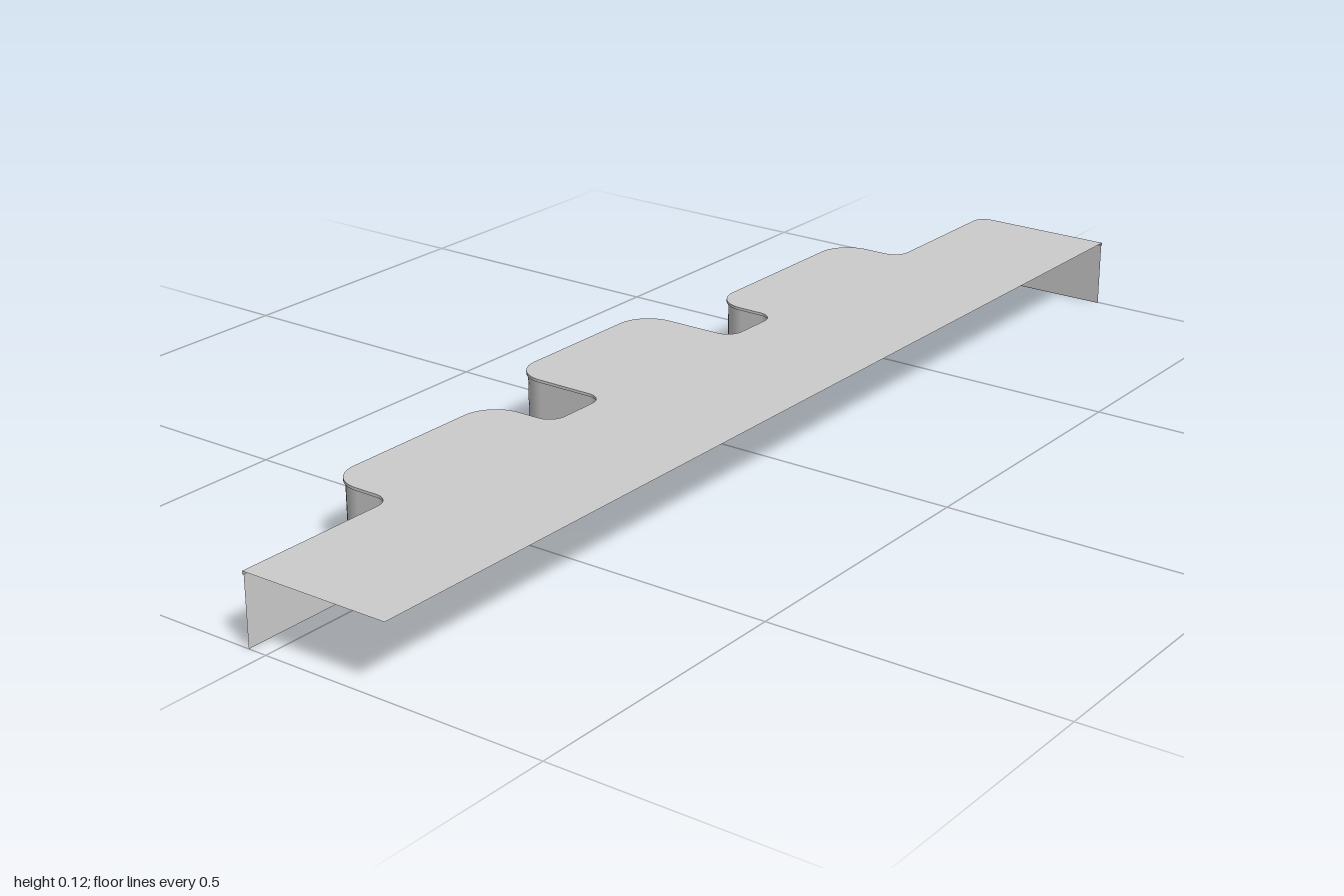
import * as THREE from 'three';

const TOP = 0.12, LIP_BOTTOM = 0.115, LIP = 0.003;
const X_OPEN = 0.231, X_BASE = -0.036;

// Outline corners [x, z, radius], from the back end along the stepped side to the open front end
function outlineCorners() {
  const corners = [[X_OPEN, -1, 0], [X_BASE, -1, 0.025]];
  const bumps = [
    { x: -0.168, z0: -0.702, z1: -0.293 },
    { x: -0.231, z0: -0.165, z1: 0.19 },
    { x: -0.168, z0: 0.32, z1: 0.695 },
  ];
  for (const { x, z0, z1 } of bumps) {
    corners.push([X_BASE, z0, 0.03], [x, z0, 0.06], [x, z1, 0.06], [X_BASE, z1, 0.03]);
  }
  corners.push([X_BASE, 1, 0]);
  return corners;
}

// Rounds the corners; returns points with outward normals in the x/z plane
function roundedOutline(corners, steps = 10) {
  const pts = corners.map(([x, z]) => new THREE.Vector2(x, z));
  const out = [];
  const add = (p, t) => {
    t.normalize();
    out.push({ p, n: new THREE.Vector2(-t.y, t.x) });
  };
  const last = pts.length - 1;
  pts.forEach((p, i) => {
    if (i === 0) return add(p, pts[1].clone().sub(p));
    if (i === last) return add(p, p.clone().sub(pts[i - 1]));
    const r = corners[i][2];
    const a = pts[i - 1].clone().sub(p).setLength(r);
    const b = pts[i + 1].clone().sub(p).setLength(r);
    for (let k = 0; k <= steps; k++) {
      const s = Math.sin((k / steps) * Math.PI / 2), c = Math.cos((k / steps) * Math.PI / 2);
      add(
        p.clone().addScaledVector(a, 1 - s).addScaledVector(b, 1 - c),
        a.clone().multiplyScalar(-c).addScaledVector(b, s),
      );
    }
  });
  return out;
}

// A band following the outline between two [offset, y] levels
function band(outline, [o0, y0], [o1, y1]) {
  const pos = [], nor = [], idx = [];
  const up = new THREE.Vector2(y1 - y0, o0 - o1).normalize();
  outline.forEach(({ p, n }, i) => {
    for (const [o, y] of [[o0, y0], [o1, y1]]) {
      pos.push(p.x + n.x * o, y, p.y + n.y * o);
      nor.push(n.x * up.x, up.y, n.y * up.x);
    }
    if (i > 0) {
      const a = 2 * (i - 1), b = 2 * i;
      idx.push(a, b, b + 1, a, b + 1, a + 1);
    }
  });
  const g = new THREE.BufferGeometry();
  g.setAttribute('position', new THREE.Float32BufferAttribute(pos, 3));
  g.setAttribute('normal', new THREE.Float32BufferAttribute(nor, 3));
  g.setIndex(idx);
  return g;
}

export function createModel() {
  const group = new THREE.Group();
  group.name = 'steppedShelf';
  const material = new THREE.MeshStandardMaterial({ color: 0xcccccc, side: THREE.DoubleSide });
  const add = (name, geometry) => {
    const mesh = new THREE.Mesh(geometry, material);
    mesh.name = name;
    group.add(mesh);
  };
  const outline = roundedOutline(outlineCorners());

  // Thin top sheet, closed along the straight open side
  const shape = new THREE.Shape(outline.map(({ p }) => new THREE.Vector2(p.x, -p.y)));
  shape.lineTo(X_OPEN, -1);
  add('topSheet', new THREE.ShapeGeometry(shape).rotateX(-Math.PI / 2).translate(0, TOP, 0));

  // Skirt wall below the sheet, and the small overhanging lip above it
  add('skirtWall', band(outline, [-LIP, 0], [-LIP, LIP_BOTTOM]));
  add('lipUnderside', band(outline, [-LIP, LIP_BOTTOM], [0, LIP_BOTTOM]));
  add('lipEdge', band(outline, [0, LIP_BOTTOM], [0, TOP]));

  return group;
}
